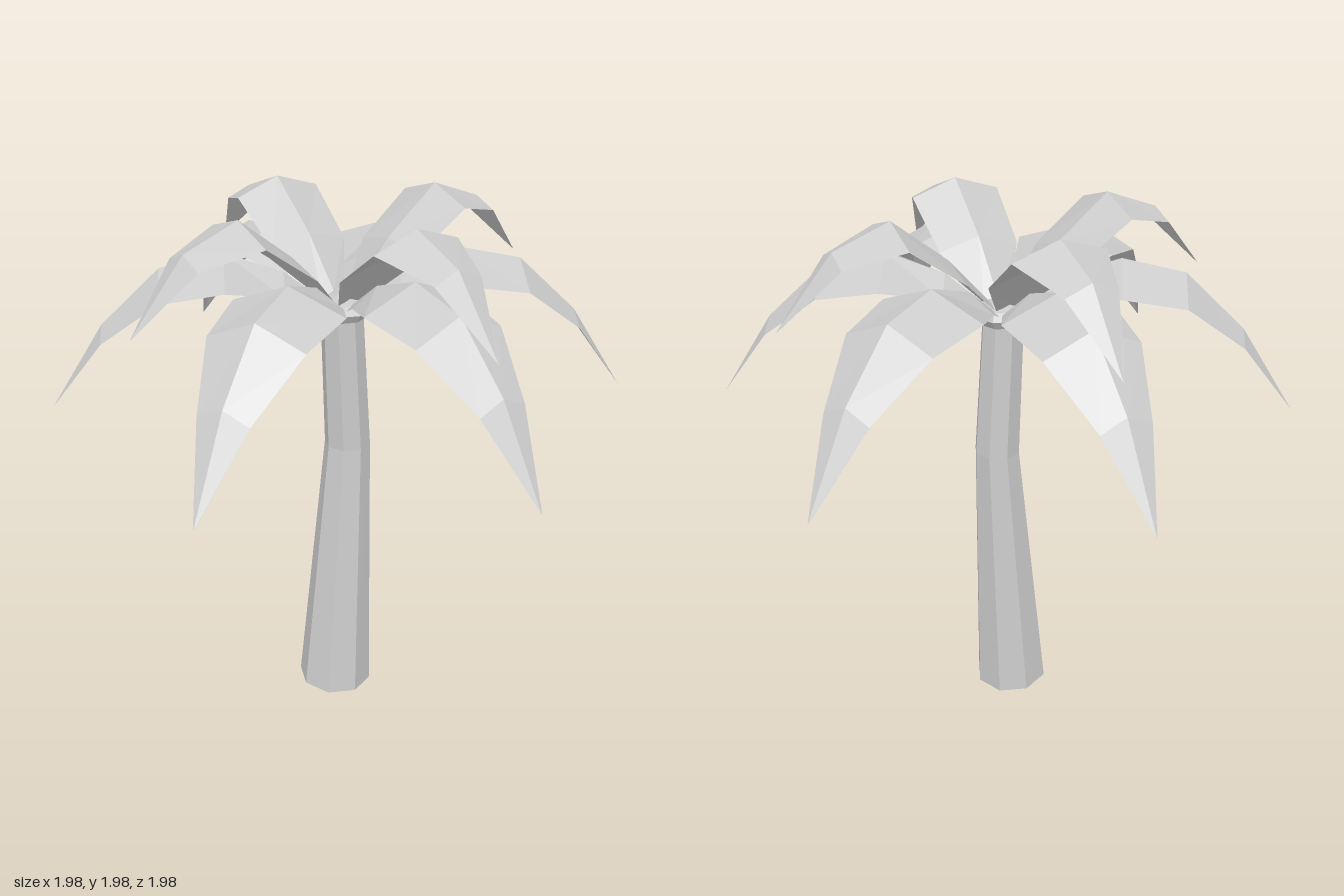
import * as THREE from 'three';

const solid = new THREE.MeshStandardMaterial({ color: 0xcccccc, flatShading: true });
const sheet = new THREE.MeshStandardMaterial({ color: 0xcccccc, flatShading: true, side: THREE.DoubleSide });

// Frond along +x, sections: [distance, ridge height, edge height, half width]
function frondGeometry(sections) {
  const pos = [], index = [];
  for (const [r, ridge, edge, w] of sections) pos.push(r, edge, -w, r, ridge, 0, r, edge, w);
  for (let i = 0; i < sections.length - 1; i++) {
    for (let j = 0; j < 2; j++) {
      const a = i * 3 + j, b = a + 3;
      index.push(a, a + 1, b + 1, a, b + 1, b);
    }
  }
  const geo = new THREE.BufferGeometry();
  geo.setAttribute('position', new THREE.Float32BufferAttribute(pos, 3));
  geo.setIndex(index);
  geo.computeVertexNormals();
  return geo;
}

function frondRing(name, count, startDegrees, sections) {
  const ring = new THREE.Group();
  ring.name = name + 's';
  const geo = frondGeometry(sections);
  for (let i = 0; i < count; i++) {
    const frond = new THREE.Mesh(geo, sheet);
    frond.name = name;
    frond.rotation.y = -THREE.MathUtils.degToRad(startDegrees + (360 / count) * i);
    ring.add(frond);
  }
  return ring;
}

export function createModel() {
  const model = new THREE.Group();
  model.name = 'palmTree';

  // Bent eight-sided trunk: rings of [x, y, z, radius]
  const rings = [[-0.025, 0.01, 0.028, 0.143], [0.018, 1.07, -0.018, 0.085], [0, 1.6, 0, 0.076]];
  const trunkGeo = new THREE.CylinderGeometry(1, 1, 2, 8, 2);
  const p = trunkGeo.attributes.position;
  for (let i = 0; i < p.count; i++) {
    const level = Math.round(p.getY(i)) + 1;
    const [cx, cy, cz, r] = rings[level];
    const x = p.getX(i) * r, z = p.getZ(i) * r;
    const tilt = level === 0 ? (z - x) * 0.05 : 0;
    p.setXYZ(i, cx + x, cy + tilt, cz + z);
  }
  trunkGeo.computeVertexNormals();
  const trunk = new THREE.Mesh(trunkGeo, solid);
  trunk.name = 'trunk';
  model.add(trunk);

  // Flared collar under the crown
  const profile = [[0, 1.575], [0.09, 1.575], [0.11, 1.605], [0.095, 1.635], [0, 1.65]];
  const collar = new THREE.Mesh(
    new THREE.LatheGeometry(profile.map(([x, y]) => new THREE.Vector2(x, y)), 8), solid);
  collar.name = 'collar';
  model.add(collar);

  // Six long drooping fronds
  model.add(frondRing('lowerFrond', 6, -15, [
    [0.06, 1.63, 1.61, 0.03],
    [0.2, 1.74, 1.68, 0.1],
    [0.4, 1.81, 1.735, 0.2],
    [0.62, 1.765, 1.695, 0.17],
    [0.83, 1.57, 1.53, 0.09],
    [1.026, 1.27, 1.27, 0.002],
  ]));

  // Four shorter upright fronds
  model.add(frondRing('upperFrond', 4, 45, [
    [0.05, 1.65, 1.63, 0.05],
    [0.2, 1.82, 1.78, 0.15],
    [0.4, 1.98, 1.925, 0.166],
    [0.6, 1.905, 1.87, 0.092],
    [0.8, 1.67, 1.67, 0.002],
  ]));

  return model;
}
